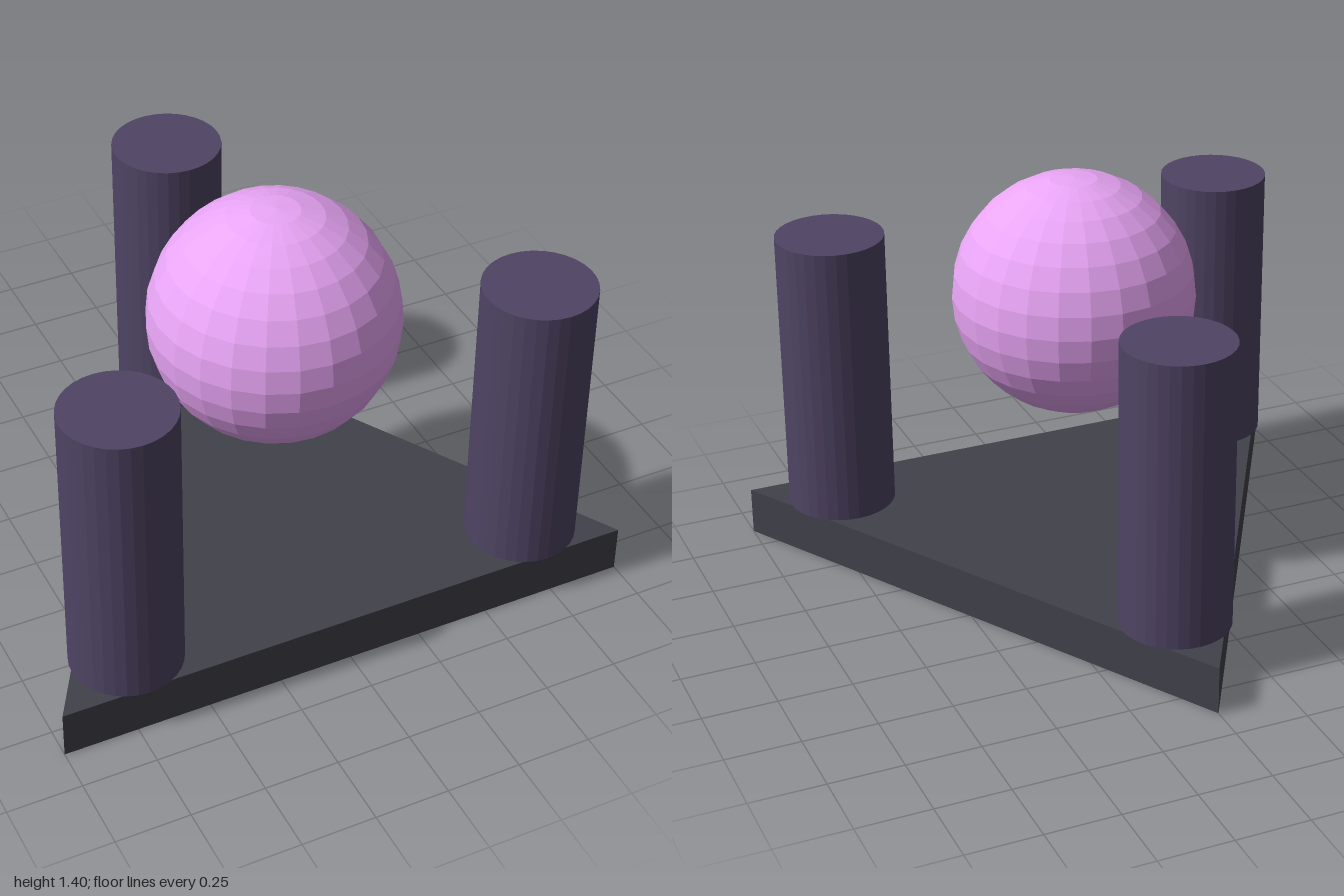
import * as THREE from 'three';

const material = (color) => new THREE.MeshStandardMaterial({ color, flatShading: true });

export function createModel() {
  const model = new THREE.Group();
  model.name = 'pillarsAndBall';

  const add = (name, geometry, mat, x, y, z) => {
    const mesh = new THREE.Mesh(geometry, mat);
    mesh.name = name;
    mesh.position.set(x, y, z);
    model.add(mesh);
    return mesh;
  };

  // Triangular base slab, pointing to the back
  const triangle = new THREE.Shape([
    new THREE.Vector2(-1, -0.855),
    new THREE.Vector2(1, -0.855),
    new THREE.Vector2(0, 0.875),
  ]);
  const slab = new THREE.ExtrudeGeometry(triangle, { depth: 0.165, bevelEnabled: false });
  slab.rotateX(-Math.PI / 2);
  add('base', slab, material(0x41414b), 0, 0, 0);

  // One pillar near each corner
  const pillar = new THREE.CylinderGeometry(0.185, 0.185, 0.99, 32);
  const pillarMaterial = material(0x4f4464);
  const spots = { leftPillar: [0.715, 0.69], rightPillar: [-0.715, 0.69], backPillar: [0, -0.55] };
  for (const [name, [x, z]] of Object.entries(spots)) {
    add(name, pillar, pillarMaterial, x, 0.66, z);
  }

  // Ball floating between the pillars
  add('ball', new THREE.SphereGeometry(0.41, 24, 16), material(0xeaa6f7), 0, 0.99, 0.275);

  return model;
}
